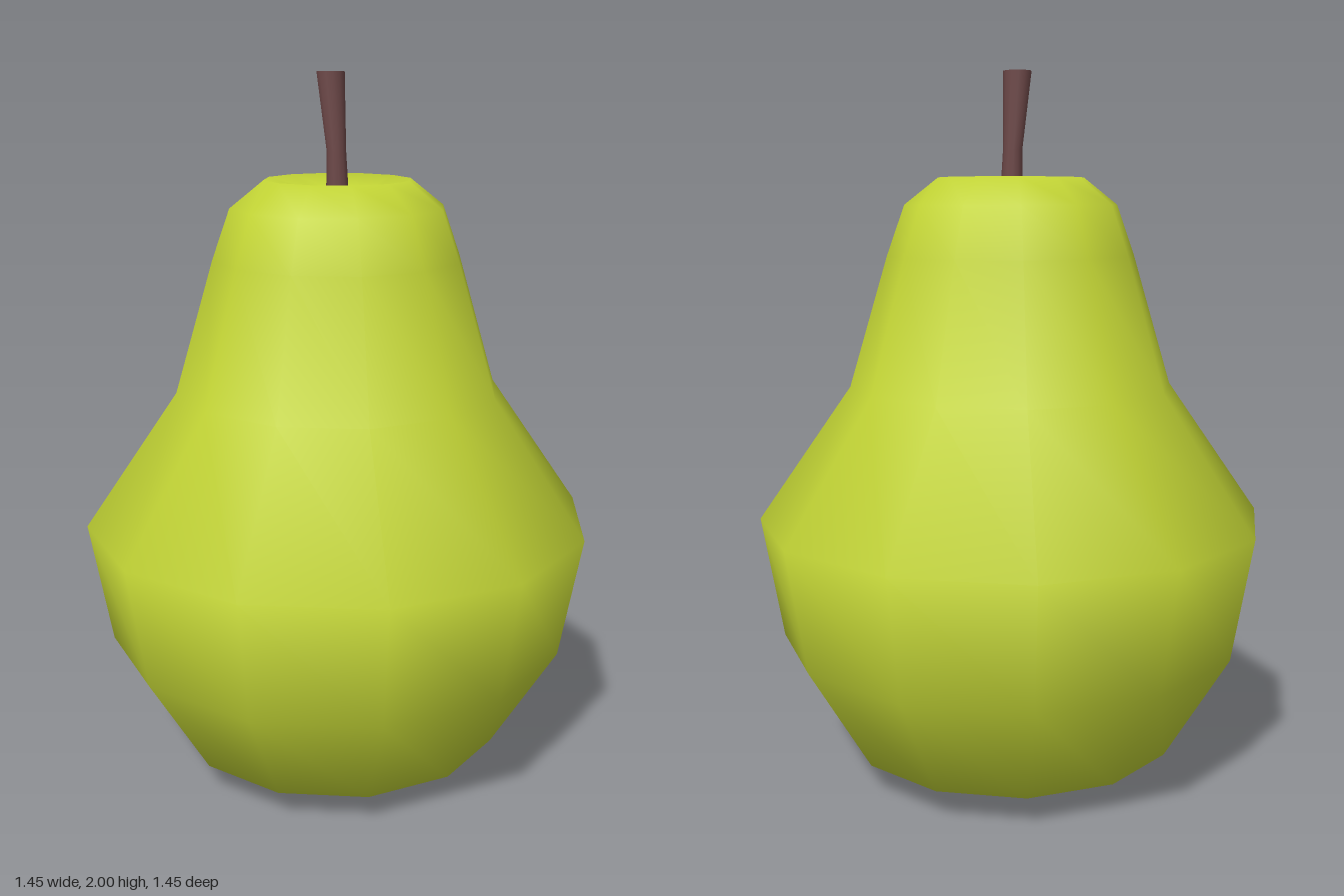
import * as THREE from 'three';

const skin = new THREE.MeshStandardMaterial({ color: 0xc4d636 });
skin.name = 'pear green';
const bark = new THREE.MeshStandardMaterial({ color: 0x6d4848 });
bark.name = 'stem brown';

// Body: twelve-sided smooth lathe with a dimple at each end
function makeBody() {
  const profile = [
    [0, 0.04], [0.25, 0], [0.48, 0.09], [0.665, 0.4], [0.725, 0.75],
    [0.46, 1.13], [0.35, 1.5], [0.3, 1.64], [0.205, 1.715], [0.1, 1.68], [0, 1.655],
  ].map(([r, y]) => new THREE.Vector2(r, y));
  const body = new THREE.Mesh(new THREE.LatheGeometry(profile, 12), skin);
  body.name = 'body';
  return body;
}

// Stem: thin at the waist, flared at the top and leaning backwards
function makeStem() {
  const rings = [ // y, radius, x, z
    [1.64, 0.033, 0, 0], [1.79, 0.027, -0.003, -0.004], [2, 0.039, -0.013, -0.038],
  ];
  const geometry = new THREE.CylinderGeometry(1, 1, 2, 12, 2);
  const p = geometry.attributes.position;
  for (let i = 0; i < p.count; i++) {
    const [y, r, x, z] = rings[Math.round(p.getY(i)) + 1];
    p.setXYZ(i, x + p.getX(i) * r, y, z + p.getZ(i) * r);
  }
  const stem = new THREE.Mesh(geometry, bark);
  stem.name = 'stem';
  return stem;
}

export function createModel() {
  const pear = new THREE.Group();
  pear.name = 'pear';
  pear.add(makeBody(), makeStem());
  return pear;
}
